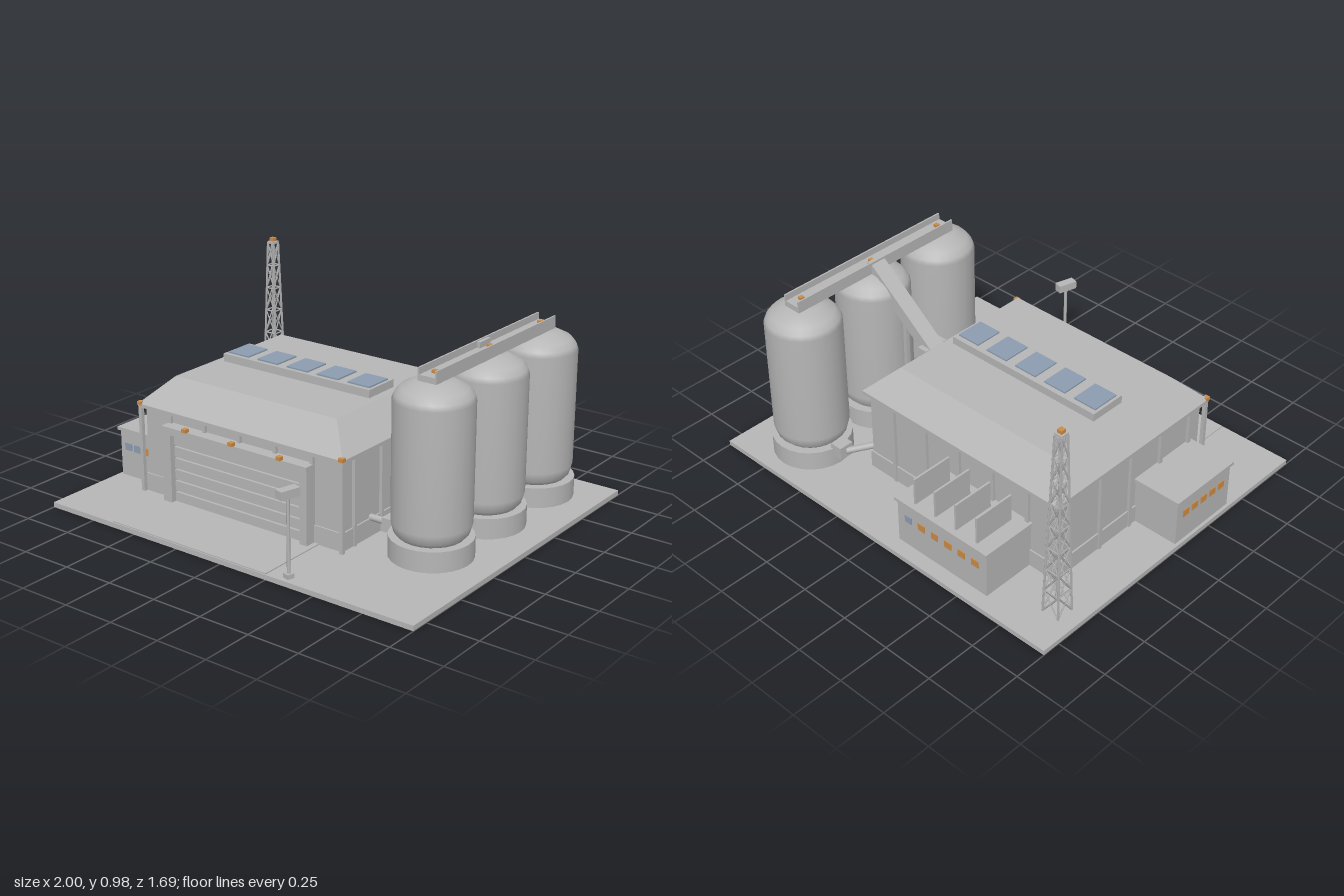
import * as THREE from 'three';

const mat = (color) => new THREE.MeshStandardMaterial({ color });

export function createModel() {
  const grey = mat(0xb6b6b6); grey.name = 'concrete grey';
  const blue = mat(0x8c9db0); blue.name = 'glass blue';
  const orange = mat(0xcc8c48); orange.name = 'lamp orange';
  const root = new THREE.Group();
  root.name = 'factory';

  const group = (name, parent = root) => {
    const g = new THREE.Group();
    g.name = name;
    parent.add(g);
    return g;
  };
  const add = (parent, name, geo, m = grey) => {
    const mesh = new THREE.Mesh(geo, m);
    mesh.name = name;
    parent.add(mesh);
    return mesh;
  };
  // Box given by its extents along each axis
  const box = (parent, name, x0, x1, y0, y1, z0, z1, m = grey) => {
    const mesh = add(parent, name, new THREE.BoxGeometry(x1 - x0, y1 - y0, z1 - z0), m);
    mesh.position.set((x0 + x1) / 2, (y0 + y1) / 2, (z0 + z1) / 2);
    return mesh;
  };
  // Small lamp centred on a point
  const lamp = (parent, x, y, z, s = 0.01) =>
    box(parent, 'warningLamp', x - s, x + s, y - s * 0.7, y + s * 0.7, z - s, z + s, orange);
  // Square or round bar between two points
  const bar = (parent, name, a, b, r, sides = 4) => {
    const p = new THREE.Vector3(...a), q = new THREE.Vector3(...b);
    const mesh = add(parent, name, new THREE.CylinderGeometry(r, r, p.distanceTo(q), sides));
    mesh.position.copy(p).add(q).multiplyScalar(0.5);
    mesh.quaternion.setFromUnitVectors(new THREE.Vector3(0, 1, 0), q.sub(p).normalize());
    return mesh;
  };

  // Ground slab and door apron
  box(root, 'groundSlab', -1, 1, 0, 0.024, -0.84, 0.84);
  box(root, 'apron', -0.63, 0.25, 0.024, 0.029, 0.46, 0.835);

  // Main hall with plinth, pilasters and hipped roof
  const hall = group('mainHall');
  const W = { x0: -0.75, x1: 0.37, z0: -0.495, z1: 0.465 };
  box(hall, 'walls', W.x0, W.x1, 0.024, 0.45, W.z0, W.z1);
  box(hall, 'plinth', W.x0 - 0.008, W.x1 + 0.008, 0.024, 0.11, W.z0 - 0.008, W.z1 + 0.008);
  for (let i = -2; i <= 2; i++) {
    const x = -0.19 + i * 0.203, z = -0.015 + i * 0.2;
    for (const s of [W.z0, W.z1]) box(hall, 'pilaster', x - 0.009, x + 0.009, 0.024, 0.44, s - 0.015, s + 0.015);
    for (const s of [W.x0, W.x1]) box(hall, 'pilaster', s - 0.015, s + 0.015, 0.024, 0.44, z - 0.009, z + 0.009);
  }
  box(hall, 'eaves', -0.775, 0.395, 0.438, 0.455, -0.52, 0.493);
  const roof = box(hall, 'hippedRoof', -0.775, 0.395, 0.455, 0.58, -0.52, 0.493);
  const rp = roof.geometry.attributes.position;
  for (let i = 0; i < rp.count; i++) {
    if (rp.getY(i) > 0) {
      rp.setX(i, rp.getX(i) * 0.785);
      rp.setZ(i, rp.getZ(i) * 0.755);
    }
  }
  roof.geometry.computeVertexNormals();

  // Roof monitor with skylights
  box(hall, 'roofMonitor', -0.61, 0.23, 0.58, 0.618, -0.105, 0.08);
  for (let i = -2; i <= 2; i++) {
    const x = -0.19 + i * 0.173;
    box(hall, 'skylight', x - 0.06, x + 0.06, 0.618, 0.625, -0.08, 0.06, blue);
  }

  // Front corner posts with lamps
  for (const x of [-0.765, 0.385]) {
    box(hall, 'cornerPost', x - 0.009, x + 0.009, 0.024, 0.45, 0.475, 0.493);
    lamp(hall, x, 0.458, 0.487, 0.012);
  }

  // Shutter door and its frame
  const door = group('shutterDoor');
  for (const [a, b] of [[-0.605, -0.555], [0.185, 0.225]]) box(door, 'doorJamb', a, b, 0.024, 0.395, 0.46, 0.525);
  box(door, 'doorLintel', -0.605, 0.225, 0.36, 0.395, 0.46, 0.525);
  for (let i = 0; i < 6; i++) {
    const y = 0.028 + i * 0.0555;
    box(door, 'doorSlat', -0.555, 0.185, y, y + 0.046, 0.46, 0.498);
  }
  box(door, 'doorBacking', -0.555, 0.185, 0.028, 0.36, 0.46, 0.485);
  for (const x of [-0.46, -0.19, 0.08]) lamp(door, x, 0.405, 0.527, 0.012);

  // Left annex
  const annex = group('leftAnnex');
  box(annex, 'annexWalls', -0.985, -0.75, 0.024, 0.25, 0.03, 0.4);
  box(annex, 'annexRoof', -0.995, -0.75, 0.25, 0.266, 0.02, 0.412);
  [-0.937, -0.88, -0.825].forEach((x, i) =>
    box(annex, 'annexWindow', x - 0.021, x + 0.021, 0.155, 0.19, 0.398, 0.404, i < 2 ? blue : orange));
  for (let i = -2; i <= 2; i++) {
    const z = 0.215 + i * 0.062;
    box(annex, 'annexWindow', -0.989, -0.983, 0.155, 0.19, z - 0.02, z + 0.02, orange);
  }

  // Rear annex with roof fins
  const rear = group('rearAnnex');
  box(rear, 'annexWalls', -0.61, -0.08, 0.024, 0.25, -0.768, -0.49);
  box(rear, 'annexRoof', -0.62, -0.07, 0.25, 0.265, -0.78, -0.49);
  for (let i = 0; i < 4; i++) {
    const x = -0.535 + i * 0.122;
    box(rear, 'roofFin', x - 0.005, x + 0.005, 0.265, 0.4, -0.75, -0.54);
  }
  for (let i = 0; i < 6; i++) {
    const x = -0.145 - i * 0.08;
    box(rear, 'annexWindow', x - 0.02, x + 0.02, 0.155, 0.19, -0.772, -0.766, i ? orange : blue);
  }

  // Silos on round bases, each with a pump and feed pipe
  const profile = [[0, 0.118], [0.145, 0.118], [0.165, 0.14], [0.177, 0.185], [0.177, 0.735],
    [0.168, 0.758], [0.145, 0.785], [0.085, 0.815], [0, 0.823]].map(([r, y]) => new THREE.Vector2(r, y));
  [-0.585, -0.163, 0.257].forEach((z, i) => {
    const silo = group('silo');
    add(silo, 'siloBody', new THREE.LatheGeometry(profile, 24)).position.set(0.69, 0, z);
    add(silo, 'siloBase', new THREE.CylinderGeometry(0.188, 0.188, 0.096, 24)).position.set(0.69, 0.072, z);
    box(silo, 'pump', 0.455, 0.52, 0.08, 0.145, z - 0.037, z + 0.037);
    bar(silo, 'feedPipe', [0.36, 0.112, i ? z : -0.4], [0.46, 0.112, z], 0.016, 10);
    lamp(silo, 0.69, 0.852, z);
  });

  // Trough conveyor over the silos
  const trough = group('topConveyor');
  box(trough, 'troughFloor', 0.643, 0.737, 0.818, 0.845, -0.642, 0.315);
  for (const x of [0.643, 0.729]) box(trough, 'troughSide', x, x + 0.008, 0.845, 0.876, -0.642, 0.315);

  // Inclined conveyor from hall to silos
  const incline = group('inclinedConveyor');
  const ramp = add(incline, 'ramp', new THREE.BoxGeometry(0.47, 0.06, 0.08));
  ramp.position.set(0.476, 0.697, -0.165);
  ramp.rotation.z = Math.atan2(0.288, 0.36);
  box(incline, 'lowerBearing', 0.277, 0.33, 0.53, 0.575, -0.23, -0.1);
  box(incline, 'upperBearing', 0.645, 0.668, 0.835, 0.872, -0.207, -0.122);
  box(incline, 'supportLeg', 0.463, 0.482, 0.024, 0.67, -0.175, -0.155);

  // Floodlight by the apron
  const flood = group('floodlight');
  flood.position.set(0.345, 0, 0.8);
  flood.rotation.y = -0.28;
  box(flood, 'poleFoot', -0.017, 0.017, 0.024, 0.045, -0.017, 0.017);
  bar(flood, 'pole', [0, 0.03, 0], [0, 0.395, 0], 0.008, 8);
  box(flood, 'lampHead', -0.021, 0.021, 0.388, 0.427, -0.048, 0.048);

  // Lattice mast
  const mast = group('latticeMast');
  mast.position.set(-0.88, 0, -0.625);
  const half = (y) => 0.044 - 0.026 * (y / 0.96);
  const corner = (k, y) => {
    const s = half(y);
    return [[s, y, s], [-s, y, s], [-s, y, -s], [s, y, -s]][k % 4];
  };
  const levels = 8, level = (i) => 0.024 + i * 0.936 / levels;
  for (let k = 0; k < 4; k++) {
    bar(mast, 'mastLeg', corner(k, 0.024), corner(k, 0.96), 0.007);
    for (let i = 0; i < levels; i++) {
      const a = level(i), b = level(i + 1);
      bar(mast, 'mastBrace', corner(k, a), corner(k + 1, b), 0.004);
      bar(mast, 'mastBrace', corner(k + 1, a), corner(k, b), 0.004);
      bar(mast, 'mastRung', corner(k, b), corner(k + 1, b), 0.004);
    }
  }
  box(mast, 'mastCap', -0.02, 0.02, 0.955, 0.967, -0.02, 0.02);
  lamp(mast, 0, 0.976, 0, 0.012);

  return root;
}
